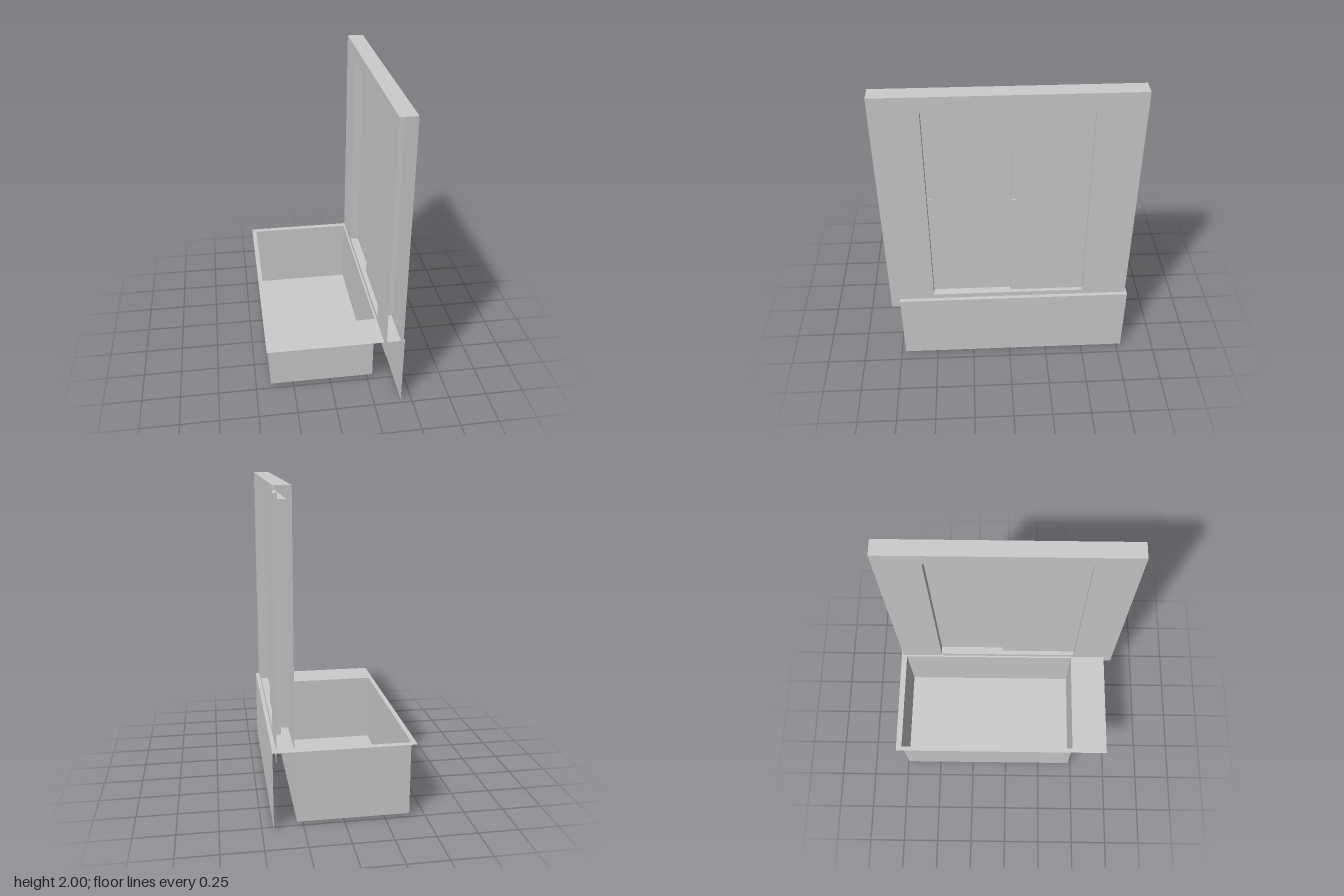
import * as THREE from 'three';

const material = new THREE.MeshStandardMaterial({ color: 0xcccccc, side: THREE.DoubleSide, flatShading: true });

// Rectangular outline between two corners
function rectangle(u0, v0, u1, v1, Type = THREE.Shape) {
  const s = new Type();
  s.moveTo(u0, v0);
  s.lineTo(u1, v0);
  s.lineTo(u1, v1);
  s.lineTo(u0, v1);
  s.closePath();
  return s;
}

export function createModel() {
  const model = new THREE.Group();

  const add = (name, geometry, parent = model) => {
    const mesh = new THREE.Mesh(geometry, material);
    mesh.name = name;
    parent.add(mesh);
    return mesh;
  };
  const group = (name) => {
    const g = new THREE.Group();
    g.name = name;
    model.add(g);
    return g;
  };
  // Upright sheet facing +x, outlined in (z, y)
  const sheetX = (name, shape, x, parent) => {
    const geometry = new THREE.ShapeGeometry(shape);
    geometry.scale(-1, 1, 1).rotateY(Math.PI / 2).translate(x, 0, 0);
    // the mirrored scale flips the corner order, so swap it back
    const index = geometry.index;
    for (let i = 0; i < index.count; i += 3) {
      const a = index.getX(i);
      index.setX(i, index.getX(i + 1));
      index.setX(i + 1, a);
    }
    geometry.computeVertexNormals();
    return add(name, geometry, parent);
  };
  // Level sheet facing up, outlined in (x, -z)
  const sheetY = (name, shape, y, parent) =>
    add(name, new THREE.ShapeGeometry(shape).rotateX(-Math.PI / 2).translate(0, y, 0), parent);
  // Upright sheet facing +z, outlined in (x, y)
  const sheetZ = (name, shape, z, parent) =>
    add(name, new THREE.ShapeGeometry(shape).translate(0, 0, z), parent);
  const box = (name, x0, x1, y0, y1, z0, z1, parent) => add(name,
    new THREE.BoxGeometry(x1 - x0, y1 - y0, z1 - z0)
      .translate((x0 + x1) / 2, (y0 + y1) / 2, (z0 + z1) / 2), parent);

  // Tub: thin open basin, flat rim and side apron
  const tub = group('tub');
  const [bx0, bx1, by0, by1, bz0, bz1] = [-0.402, 0.288, 0.02, 0.487, -0.743, 0.479];
  sheetY('basinFloor', rectangle(bx0, -bz1, bx1, -bz0), by0, tub);
  for (const x of [bx0, bx1]) sheetX('basinSide', rectangle(bz0, by0, bz1, by1), x, tub);
  for (const z of [bz0, bz1]) sheetZ('basinEnd', rectangle(bx0, by0, bx1, by1), z, tub);
  const rim = rectangle(-0.432, -0.723, 0.43, 0.782);
  rim.holes.push(rectangle(bx0, -bz1, bx1, -bz0, THREE.Path));
  sheetY('rim', rim, by1, tub);
  sheetX('apron', rectangle(-0.782, 0, 0.723, by1), 0.43, tub);

  // Hollow wall: two skins, a top cap and a lined opening
  const wall = group('wall');
  const [wx0, wx1] = [0.3, 0.405];
  const [oz0, oz1, oy0, oy1] = [-0.482, 0.498, 0.52, 1.905];
  for (const x of [wx0, wx1]) {
    const skin = rectangle(-0.77, 0.42, 0.782, 2);
    skin.holes.push(rectangle(oz0, oy0, oz1, oy1, THREE.Path));
    sheetX('wallSkin', skin, x, wall);
  }
  sheetY('wallTop', rectangle(wx0, -0.782, wx1, 0.77), 2, wall);
  for (const z of [oz0, oz1]) sheetZ('openingJamb', rectangle(wx0, oy0, wx1, oy1), z, wall);
  for (const y of [oy0, oy1]) sheetY('openingSill', rectangle(wx0, -oz1, wx1, -oz0), y, wall);

  // Two staggered sliding panels, each with a slim pull on the outer face
  const doors = group('slidingDoors');
  for (const [x, z0, z1, pull] of [[0.33, -0.03, 0.53, 0.497], [0.355, -0.515, -0.01, -0.012]]) {
    box('slidingPanel', x, x + 0.025, 0.49, 1.94, z0, z1, doors);
    box('pullHandle', x + 0.024, x + 0.032, 1.155, 1.275, pull - 0.027, pull, doors);
  }

  return model;
}
